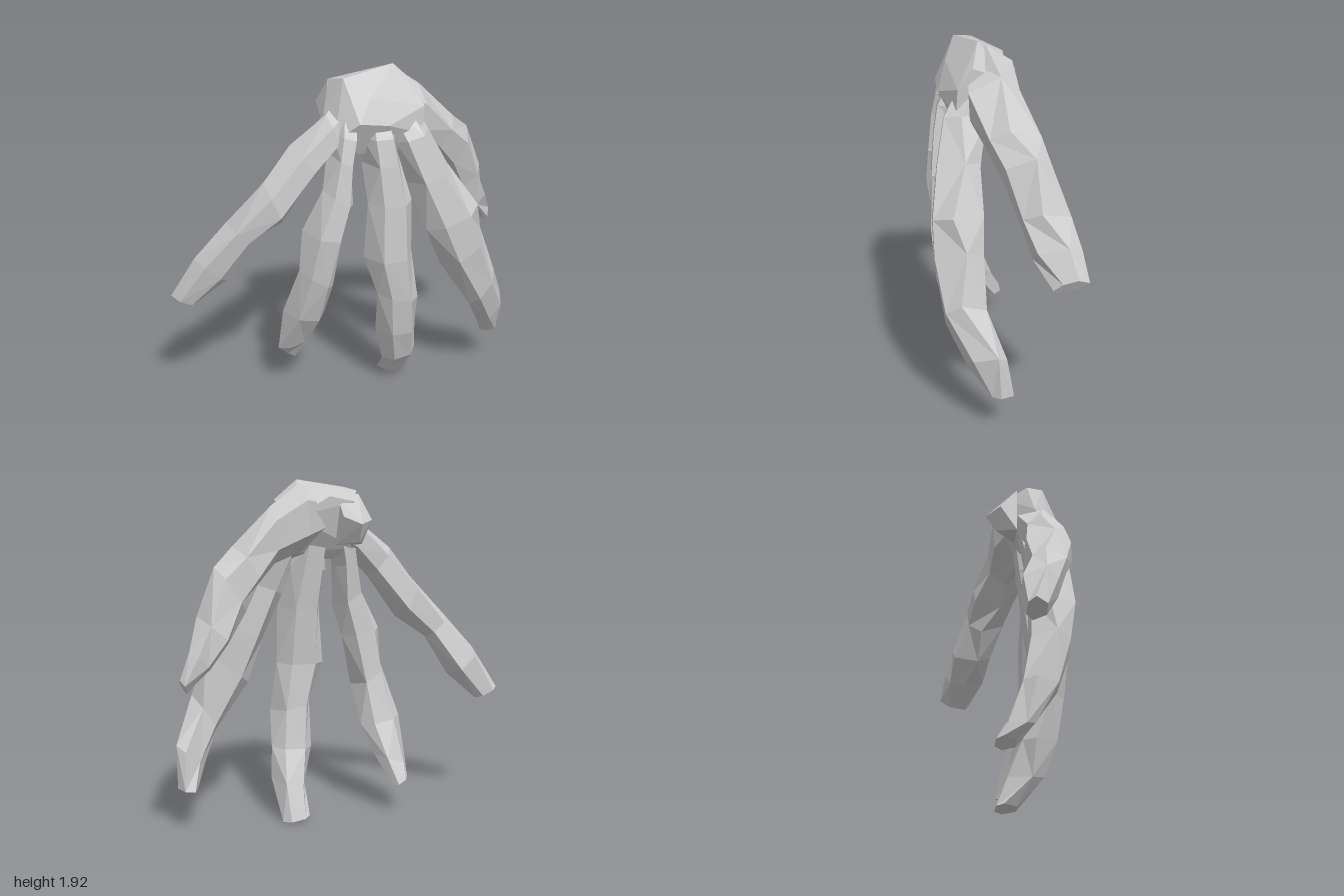
import * as THREE from 'three';
import { ConvexGeometry } from 'three/addons/geometries/ConvexGeometry.js';

const material = new THREE.MeshStandardMaterial({ color: 0xcccccc, flatShading: true });

// Six-sided ring: fraction across the finger, fraction from back to front
const RING = [[0, 0.5], [0.27, 0.97], [0.74, 1], [1, 0.5], [0.76, 0], [0.25, 0.03]];

// Loft through rows of [leftX, leftY, rightX, rightY, frontZ, backZ, tilt]
function finger(name, rows) {
  const pos = [];
  const index = [];
  const n = RING.length;
  rows.forEach(([lx, ly, rx, ry, zf, zb, tilt = 0], i) => {
    RING.forEach(([a, b], k) => {
      // side ridges wander to and fro for an uneven, carved look
      const s = k % 3 === 0 ? b + (i % 2 ? 0.13 : -0.13) : b;
      pos.push(lx + (rx - lx) * a, ly + (ry - ly) * a, zb + (zf - zb) * s + tilt * (a - 0.5));
    });
  });
  for (let i = 0; i < rows.length - 1; i++) {
    for (let k = 0; k < n; k++) {
      const a = i * n + k, b = i * n + (k + 1) % n, c = a + n, d = b + n;
      if ((i + k) % 2) index.push(a, c, d, a, d, b);
      else index.push(a, c, b, b, c, d);
    }
  }
  // end caps
  const last = (rows.length - 1) * n;
  for (let k = 1; k < n - 1; k++) {
    index.push(0, k, k + 1);
    index.push(last, last + k + 1, last + k);
  }
  const geo = new THREE.BufferGeometry();
  geo.setAttribute('position', new THREE.Float32BufferAttribute(pos, 3));
  geo.setIndex(index);
  const flat = geo.toNonIndexed();
  flat.computeVertexNormals();
  const mesh = new THREE.Mesh(flat, material);
  mesh.name = name;
  return mesh;
}

function lump(name, points) {
  const mesh = new THREE.Mesh(new ConvexGeometry(points.map(p => new THREE.Vector3(...p))), material);
  mesh.name = name;
  return mesh;
}

export function createModel() {
  const group = new THREE.Group();
  group.name = 'fingerCluster';

  // Outer finger on the right
  group.add(finger('rightOuterFinger', [
    [-0.04, 1.78, 0.05, 1.56, 0.15, 0],
    [-0.15, 1.69, -0.08, 1.5, 0.23, 0],
    [-0.34, 1.53, -0.2, 1.37, 0.25, 0.03],
    [-0.5, 1.35, -0.4, 1.12, 0.26, 0],
    [-0.69, 1.12, -0.56, 1.0, 0.2, 0.01],
    [-0.87, 0.92, -0.7, 0.77, 0.13, -0.06],
    [-1.0, 0.68, -0.86, 0.62, 0.05, -0.05],
  ]));

  // Three front fingers, bowed forward with tips curling back
  group.add(finger('rightInnerFinger', [
    [-0.08, 1.78, 0.04, 1.77, 0.17, 0.02],
    [-0.12, 1.6, 0.02, 1.56, 0.265, 0.01],
    [-0.14, 1.48, -0.01, 1.43, 0.29, 0.03],
    [-0.19, 1.3, -0.02, 1.2, 0.31, 0.06],
    [-0.29, 1.06, -0.06, 1.02, 0.32, 0.06],
    [-0.32, 0.84, -0.13, 0.72, 0.28, 0.05],
    [-0.39, 0.54, -0.15, 0.5, 0.2, 0],
    [-0.41, 0.27, -0.21, 0.33, 0.07, -0.08],
    [-0.37, 0.21, -0.28, 0.16, -0.03, -0.14],
  ]));
  group.add(finger('middleFinger', [
    [0.06, 1.77, 0.19, 1.77, 0.17, 0.02],
    [0.04, 1.56, 0.23, 1.57, 0.275, 0.01],
    [0.05, 1.41, 0.26, 1.43, 0.3, 0.03],
    [0.06, 1.2, 0.31, 1.2, 0.32, 0.06],
    [0.05, 0.87, 0.33, 0.88, 0.33, 0.1],
    [0.12, 0.65, 0.36, 0.6, 0.31, 0.09],
    [0.14, 0.38, 0.38, 0.4, 0.27, 0.06],
    [0.19, 0.17, 0.39, 0.22, 0.2, -0.02],
    [0.21, 0.02, 0.37, 0, 0.04, -0.08],
  ]));
  group.add(finger('leftInnerFinger', [
    [0.14, 1.72, 0.33, 1.74, 0.15, 0],
    [0.22, 1.52, 0.41, 1.58, 0.26, 0.03],
    [0.3, 1.28, 0.53, 1.37, 0.31, 0.09],
    [0.39, 1.02, 0.69, 1.14, 0.35, 0.09],
    [0.5, 0.78, 0.74, 0.97, 0.35, 0.1],
    [0.68, 0.51, 0.82, 0.72, 0.31, 0.1],
    [0.78, 0.34, 0.95, 0.48, 0.2, 0.03, -0.06],
    [0.84, 0.22, 0.95, 0.24, 0.09, -0.02],
  ]));

  // Outer finger on the left, sweeping backward
  group.add(finger('leftOuterFinger', [
    [0.08, 1.62, 0.06, 1.82, 0.1, -0.03],
    [0.22, 1.53, 0.24, 1.9, 0.11, -0.11],
    [0.4, 1.47, 0.42, 1.78, 0.14, -0.12],
    [0.5, 1.36, 0.64, 1.57, 0.06, -0.2],
    [0.6, 1.23, 0.77, 1.47, 0, -0.23],
    [0.7, 1.07, 0.87, 1.22, -0.07, -0.31],
    [0.82, 0.95, 0.94, 1.06, -0.12, -0.34, -0.05],
    [0.95, 0.83, 1.0, 0.92, -0.22, -0.35, -0.1],
  ]));

  // Crown joining the fingers
  group.add(lump('crown', [
    [-0.11, 1.86, 0.06], [-0.06, 1.88, 0.16], [0.24, 1.92, 0.07], [-0.15, 1.69, 0.1],
    [0.07, 1.78, 0.22], [0.38, 1.71, 0.19], [0.37, 1.56, 0.2], [-0.12, 1.56, 0.21],
    [0.16, 1.64, 0.27], [0.0, 1.66, 0.27], [0.02, 1.47, 0.18], [0.26, 1.47, 0.18],
    [0.27, 1.52, 0.04], [0.02, 1.48, 0.07], [0.1, 1.83, -0.08], [0.3, 1.72, -0.09],
    [-0.05, 1.8, -0.06], [-0.08, 1.54, 0.02], [0.36, 1.81, 0.11],
  ]));

  // Short stump at the back
  group.add(lump('backStump', [
    [-0.14, 1.7, -0.1], [-0.05, 1.68, -0.18], [0.03, 1.72, -0.11], [-0.06, 1.58, -0.12],
    [-0.1, 1.84, 0], [0.04, 1.56, 0], [-0.12, 1.56, 0], [0.04, 1.82, -0.04],
  ]));

  return group;
}
